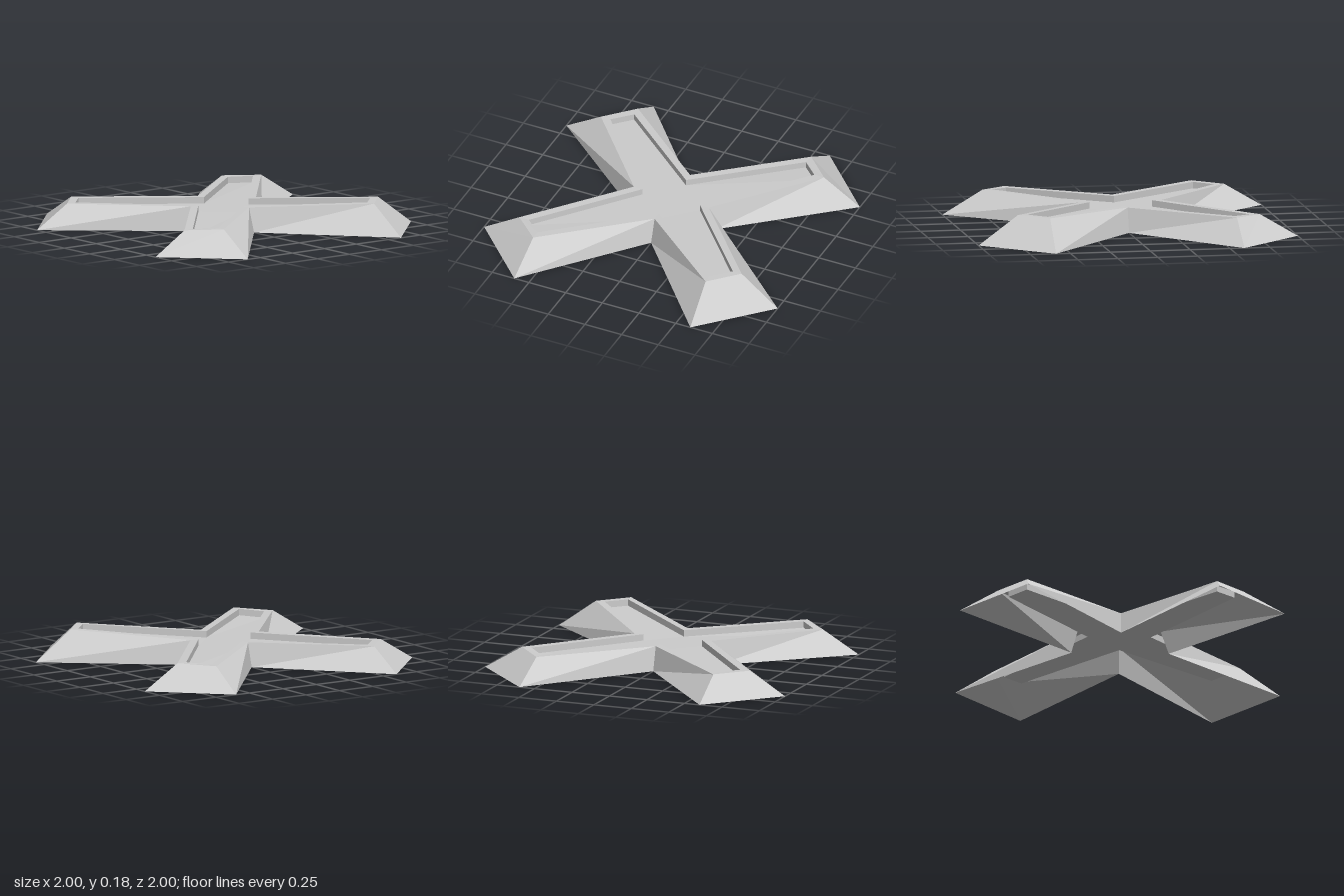
import * as THREE from 'three';

// Outlines run clockwise seen from above, starting at the notch on +x: [x, z]
const base = [[0.3, 0], [1, 0.59], [0.6, 1], [0, 0.3], [-0.6, 1], [-1, 0.59],
  [-0.3, 0], [-1, -0.59], [-0.6, -1], [0, -0.3], [0.6, -1], [1, -0.59]];
const rim = [[0.25, 0], [0.75, 0.58], [0.585, 0.75], [0, 0.25], [-0.59, 0.75], [-0.765, 0.58],
  [-0.26, 0], [-0.765, -0.59], [-0.595, -0.765], [0, -0.26], [0.585, -0.765], [0.755, -0.59]];
const recess = [[0.19, 0], [0.69, 0.58], [0.58, 0.69], [0, 0.19], [-0.59, 0.69], [-0.7, 0.58],
  [-0.2, 0], [-0.7, -0.59], [-0.59, -0.7], [0, -0.2], [0.58, -0.7], [0.69, -0.59]];
// Top height at each outline corner
const heights = [0.15, 0.18, 0.18, 0.15, 0.15, 0.14, 0.15, 0.14, 0.14, 0.15, 0.14, 0.15];
const DEPTH = 0.04;

const place = (outline, height) => outline.map(([x, z], i) => new THREE.Vector3(x, height(i), z));

// Unshared triangles keep every facet flat
function facets(name, triangles, material) {
  const geometry = new THREE.BufferGeometry().setFromPoints(triangles);
  geometry.computeVertexNormals();
  const mesh = new THREE.Mesh(geometry, material);
  mesh.name = name;
  return mesh;
}

// Band of quads between an outer and an inner closed outline
function band(outer, inner) {
  return outer.flatMap((o, i) => {
    const j = (i + 1) % outer.length;
    return [o, inner[i], outer[j], outer[j], inner[i], inner[j]];
  });
}

export function createModel() {
  const group = new THREE.Group();
  group.name = 'crossPlate';
  const grey = new THREE.MeshStandardMaterial({ color: 0xcccccc, side: THREE.DoubleSide, flatShading: true });
  grey.name = 'light grey';

  const foot = place(base, () => 0);
  const top = place(rim, i => heights[i]);
  const lip = place(recess, i => heights[i]);
  const sunk = place(recess, i => heights[i] - DEPTH);

  group.add(facets('slopedSides', band(foot, top), grey));
  group.add(facets('rim', band(top, lip), grey));
  group.add(facets('recessWalls', band(lip, sunk), grey));

  // Recessed floor: a central square plus one quad for each arm
  const floor = [sunk[0], sunk[6], sunk[3], sunk[0], sunk[9], sunk[6]];
  for (let i = 0; i < 12; i += 3) {
    const [a, b, c, d] = [sunk[i], sunk[i + 1], sunk[i + 2], sunk[(i + 3) % 12]];
    floor.push(a, c, b, a, d, c);
  }
  group.add(facets('recessFloor', floor, grey));
  return group;
}
